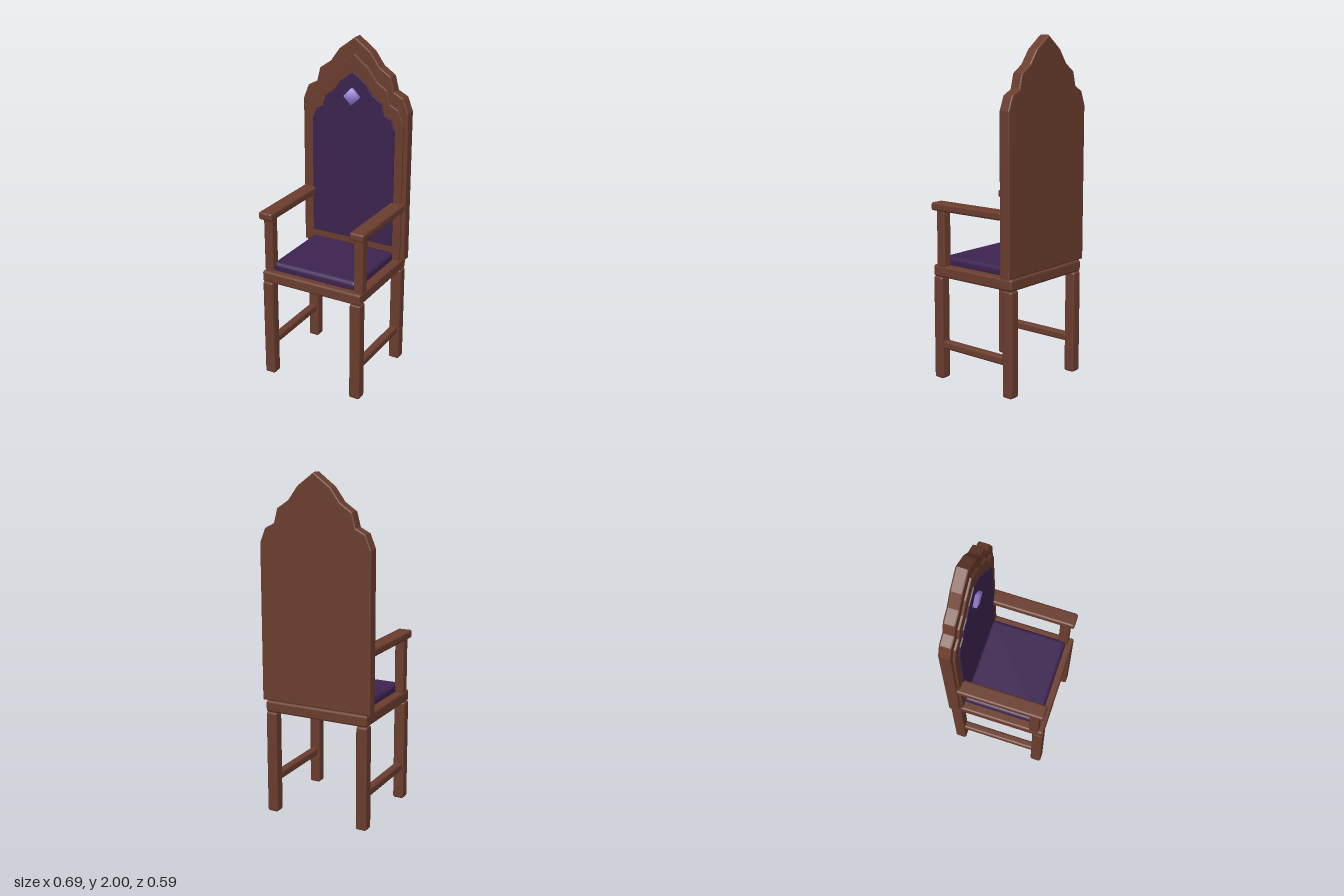
import * as THREE from 'three';
import { RoundedBoxGeometry } from 'three/addons/geometries/RoundedBoxGeometry.js';
import { mergeVertices } from 'three/addons/utils/BufferGeometryUtils.js';

const material = (name, color) => {
  const m = new THREE.MeshStandardMaterial({ color });
  m.name = name;
  return m;
};

// Right half of the stepped arch, measured from its base centre
const ARCH = [
  [0.343, 0], [0.343, 0.915], [0.31, 0.997], [0.252, 1.027], [0.23, 1.11],
  [0.16, 1.157], [0.103, 1.235], [0, 1.312],
];

export function createModel() {
  const chair = new THREE.Group();
  chair.name = 'chair';
  const wood = material('dark wood', 0x6b3d2e);
  const fabric = material('purple fabric', 0x3d2350);
  const crystal = material('lilac crystal', 0x9c84dc);

  const add = (name, geometry, mat, x = 0, y = 0, z = 0) => {
    const mesh = new THREE.Mesh(geometry, mat);
    mesh.name = name;
    mesh.position.set(x, y, z);
    chair.add(mesh);
    return mesh;
  };

  // Rounded bar given by its limits on each axis
  const bar = (name, mat, [x0, x1], [y0, y1], [z0, z1], radius = 0.01) =>
    add(name, new RoundedBoxGeometry(x1 - x0, y1 - y0, z1 - z0, 2, radius), mat,
      (x0 + x1) / 2, (y0 + y1) / 2, (z0 + z1) / 2);

  // Bevelled arched slab, scaled from the shared outline
  const archPanel = (name, mat, scale, baseY, z0, z1, bevel) => {
    const left = ARCH.slice(0, -1).reverse().map(([x, y]) => [-x, y]);
    const shape = new THREE.Shape(
      [...ARCH, ...left].map(([x, y]) => new THREE.Vector2(x * scale, y * scale)));
    const geometry = new THREE.ExtrudeGeometry(shape, {
      depth: z1 - z0 - 2 * bevel, bevelEnabled: true, bevelThickness: bevel,
      bevelSize: bevel, bevelOffset: -bevel, bevelSegments: 2,
    });
    add(name, geometry, mat, 0, baseY, z0 + bevel);
  };

  // Backrest: three stacked arches
  archPanel('backrest', wood, 1, 0.688, -0.295, -0.226, 0.008);
  archPanel('backrestFrame', wood, 0.93, 0.688, -0.25, -0.213, 0.005);
  archPanel('backrestPadding', fabric, 0.785, 0.775, -0.23, -0.205, 0.003);

  // Diamond jewel with softly shaded facets
  let jewel = new THREE.CylinderGeometry(0.05, 0.05, 0.03, 4).rotateX(Math.PI / 2);
  jewel.deleteAttribute('normal');
  jewel.deleteAttribute('uv');
  jewel = mergeVertices(jewel);
  jewel.computeVertexNormals();
  add('jewel', jewel, crystal, 0, 1.663, -0.197);

  // Seat
  bar('seatFrame', wood, [-0.324, 0.324], [0.617, 0.686], [-0.295, 0.295], 0.014);
  bar('seatCushion', fabric, [-0.275, 0.275], [0.67, 0.737], [-0.225, 0.255], 0.025);

  // Legs, stretchers and arms on both sides
  for (const side of [1, -1]) {
    const span = (a, b) => (side > 0 ? [a, b] : [-b, -a]);
    bar('frontLeg', wood, span(0.256, 0.324), [0, 0.617], [0.227, 0.295], 0.013);
    bar('backLeg', wood, span(0.256, 0.324), [0, 0.617], [-0.295, -0.227], 0.013);
    bar('sideStretcher', wood, span(0.266, 0.314), [0.182, 0.232], [-0.235, 0.235], 0.014);
    bar('armPost', wood, span(0.266, 0.324), [0.68, 1.015], [0.205, 0.265]);
    bar('armrest', wood, span(0.252, 0.34), [1.008, 1.056], [-0.235, 0.293], 0.013);
  }
  return chair;
}
